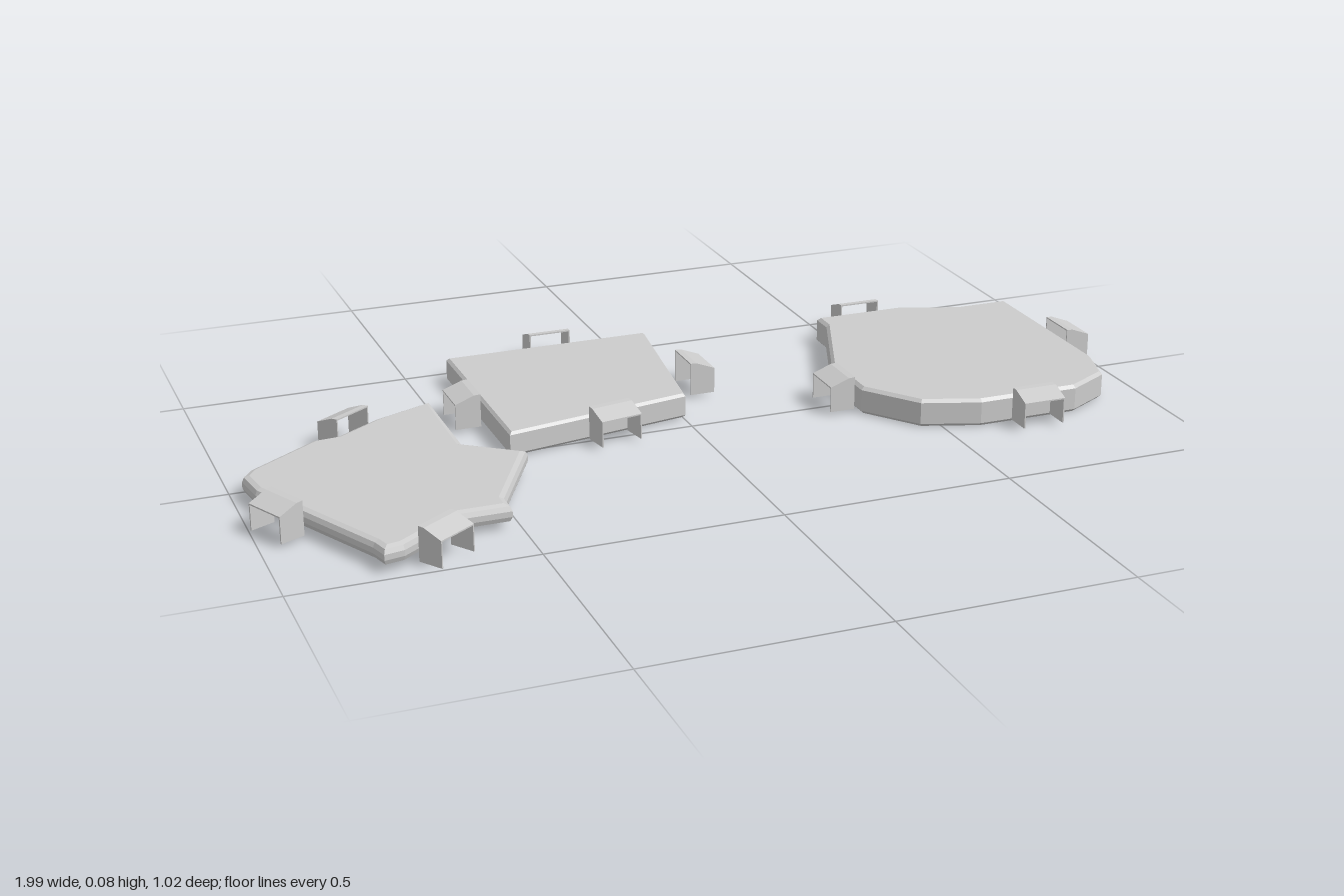
import * as THREE from 'three';

const grey = new THREE.MeshStandardMaterial({ color: 0xcccccc, side: THREE.DoubleSide });

// Plate: outline in (x, z), extruded between two heights with bevelled rims
function plate(name, outline, bottom, top, bevel, segments) {
  const shape = new THREE.Shape(outline.map(([x, z]) => new THREE.Vector2(x, z)));
  const geo = new THREE.ExtrudeGeometry(shape, {
    depth: top - bottom - 2 * bevel,
    bevelThickness: bevel, bevelSize: bevel, bevelOffset: -bevel, bevelSegments: segments,
  });
  geo.rotateX(Math.PI / 2);
  geo.translate(0, top - bevel, 0);
  const mesh = new THREE.Mesh(geo, grey);
  mesh.name = name;
  return mesh;
}

// Profile in (outward, up), extruded along the clip's width and centred on offset
function profile(name, points, width, offset) {
  const shape = new THREE.Shape(points.map(([u, v]) => new THREE.Vector2(u, v)));
  const geo = new THREE.ExtrudeGeometry(shape, { depth: width, bevelEnabled: false });
  geo.translate(0, 0, offset - width / 2);
  geo.rotateY(-Math.PI / 2);
  const mesh = new THREE.Mesh(geo, grey);
  mesh.name = name;
  return mesh;
}

// Clip: two thin side plates under a sloping roof, facing outward along (dx, dz)
const W = 0.096, D = 0.028, T = 0.003, BASE = 0.007;
function clip([x, z, dx, dz]) {
  const group = new THREE.Group();
  group.name = 'edgeClip';
  const ridge = [[-D, 0.081], [-D + 0.014, 0.08], [D, 0.064]];
  const side = [[-D, BASE], [D, BASE], ...[...ridge].reverse()];
  for (const s of [-1, 1]) group.add(profile('clipSide', side, T, s * (W - T) / 2));
  const under = ridge.map(([u, v]) => [u, v - T]);
  group.add(profile('clipRoof', [...under, ...[...ridge].reverse()], W - 2 * T, 0));
  group.position.set(x, 0, z);
  group.rotation.y = Math.atan2(dx, dz);
  return group;
}

const slabs = [
  {
    name: 'notchedPlate', bottom: 0.013, top: 0.053, bevel: 0.014, segments: 2,
    outline: [[-0.519, -0.222], [-0.519, 0.03], [-0.406, 0.115], [-0.519, 0.33], [-0.519, 0.372],
      [-0.626, 0.372], [-0.76, 0.468], [-0.802, 0.476], [-0.813, 0.436], [-0.968, 0.115],
      [-0.979, 0.04], [-0.957, 0.008], [-0.802, -0.1], [-0.75, -0.104], [-0.652, -0.168]],
    clips: [[-0.722, -0.166, -0.55, -0.83], [-0.952, 0.235, -0.9, 0.43], [-0.676, 0.457, 0.56, 0.83]],
  },
  {
    name: 'fourSidedPlate', bottom: 0.003, top: 0.058, bevel: 0.006, segments: 1,
    outline: [[-0.417, -0.447], [0.057, -0.447], [0.003, -0.045], [-0.417, 0.03]],
    clips: [[-0.168, -0.488, 0, -1], [0.086, -0.203, 1, 0], [-0.182, 0.023, 0.176, 0.98], [-0.455, -0.195, -1, 0]],
  },
  {
    name: 'roundedPlate', bottom: 0, top: 0.062, bevel: 0.007, segments: 1,
    outline: [[0.465, -0.382], [0.674, -0.382], [0.807, -0.334], [0.934, -0.334], [0.934, 0.072],
      [0.904, 0.174], [0.807, 0.227], [0.578, 0.227], [0.455, 0.184], [0.369, 0.067],
      [0.369, -0.088], [0.465, -0.329]],
    clips: [[0.578, -0.418, 0, -1], [0.968, -0.094, 1, 0], [0.698, 0.26, 0, 1], [0.332, 0.003, -1, 0]],
  },
];

export function createModel() {
  const model = new THREE.Group();
  model.name = 'clippedPlates';
  for (const s of slabs) {
    const group = new THREE.Group();
    group.name = s.name + 'Set';
    group.add(plate(s.name, s.outline, s.bottom, s.top, s.bevel, s.segments), ...s.clips.map(clip));
    model.add(group);
  }
  return model;
}
